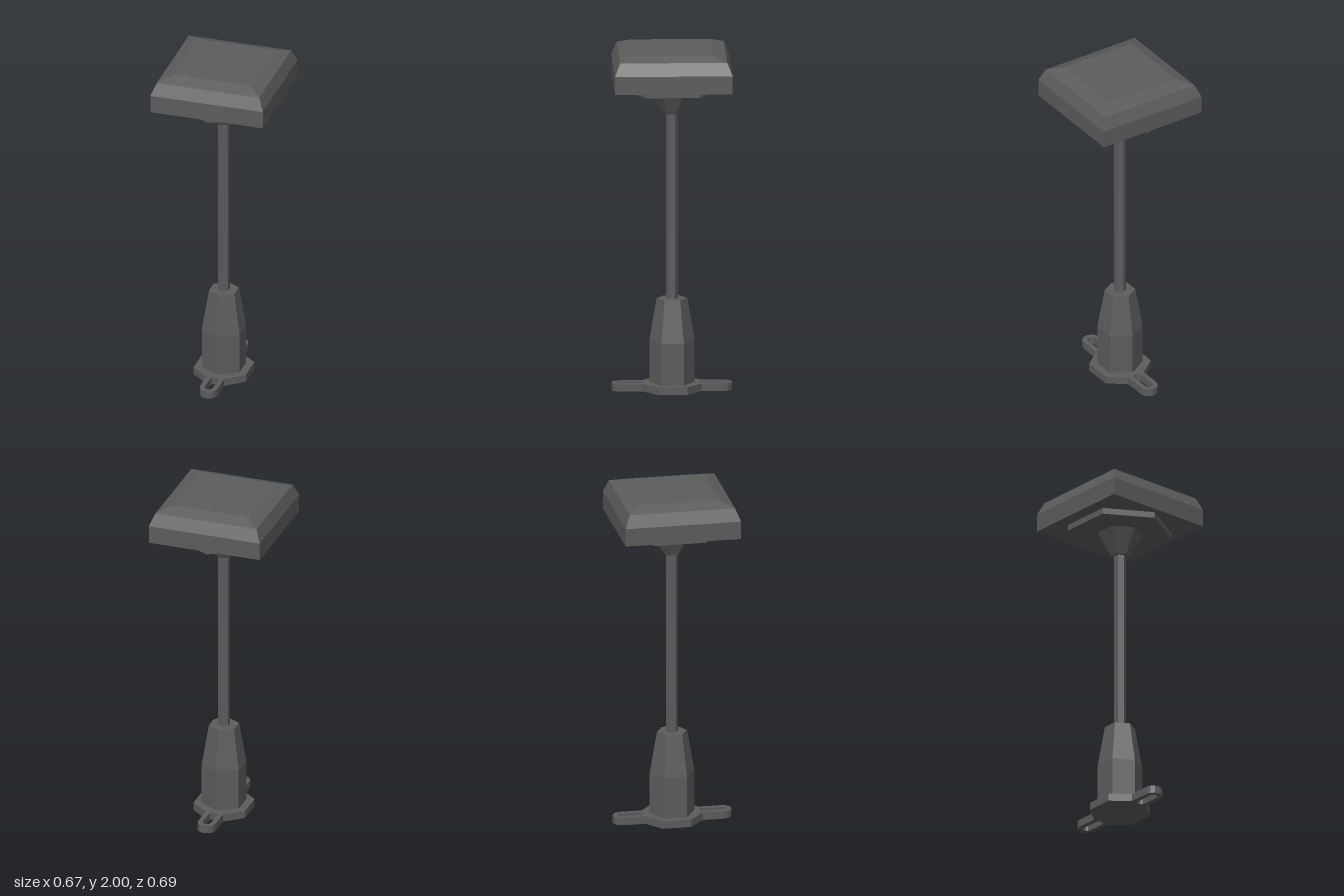
import * as THREE from 'three';

const material = new THREE.MeshStandardMaterial({ color: 0x5c5c5c, flatShading: true });

// Faceted solid from a [radius, y] profile, listed from bottom to top
function faceted(name, sides, profile) {
  const points = profile.map(([r, y]) => new THREE.Vector2(r, y));
  points.unshift(new THREE.Vector2(0, profile[0][1]));
  points.push(new THREE.Vector2(0, profile[profile.length - 1][1]));
  const mesh = new THREE.Mesh(new THREE.LatheGeometry(points, sides), material);
  mesh.name = name;
  return mesh;
}

// Points on half a circle, centred at (0, cy), from angle a, counterclockwise
function halfCircle(cy, r, a, steps) {
  return Array.from({ length: steps + 1 }, (_, i) => {
    const t = a + (Math.PI * i) / steps;
    return new THREE.Vector2(r * Math.cos(t), cy + r * Math.sin(t));
  });
}

// Hexagonal plate with two slotted mounting ears
function mountingPlate() {
  const earZ = 0.293, earR = 0.053, slotR = 0.024;
  const v = (x, y) => new THREE.Vector2(x, y);
  const half = [v(0.157, 0.083), v(earR, 0.167), ...halfCircle(earZ, earR, 0, 6), v(-earR, 0.167), v(-0.157, 0.083)];
  const shape = new THREE.Shape([...half, ...half.map((p) => v(-p.x, -p.y))]);
  for (const s of [1, -1]) {
    const slot = [...halfCircle(earZ, slotR, 0, 6), ...halfCircle(0.185, slotR, Math.PI, 6)];
    shape.holes.push(new THREE.Path(slot.map((p) => v(s * p.x, s * p.y))));
  }
  const geometry = new THREE.ExtrudeGeometry(shape, { depth: 0.045, bevelEnabled: false });
  geometry.rotateX(-Math.PI / 2);
  const mesh = new THREE.Mesh(geometry, material);
  mesh.name = 'mountingPlate';
  return mesh;
}

export function createModel() {
  const group = new THREE.Group();
  group.name = 'postWithSquareHead';

  group.add(mountingPlate());

  // Hexagonal base, pole and flared support
  group.add(faceted('base', 6, [[0.13, 0.045], [0.13, 0.29], [0.088, 0.535]]));
  group.add(faceted('pole', 6, [[0.034, 0.53], [0.034, 1.63]]));
  group.add(faceted('flare', 6, [[0.052, 1.617], [0.13, 1.757]]));
  group.add(faceted('supportDisc', 6, [[0.302, 1.757], [0.302, 1.794]]));

  // Square head with two bevels
  const d = Math.SQRT2;
  const head = faceted('head', 4, [[0.337 * d, 1.793], [0.337 * d, 1.898], [0.307 * d, 1.971], [0.231 * d, 2]]);
  head.rotation.y = Math.PI / 4;
  group.add(head);

  return group;
}
